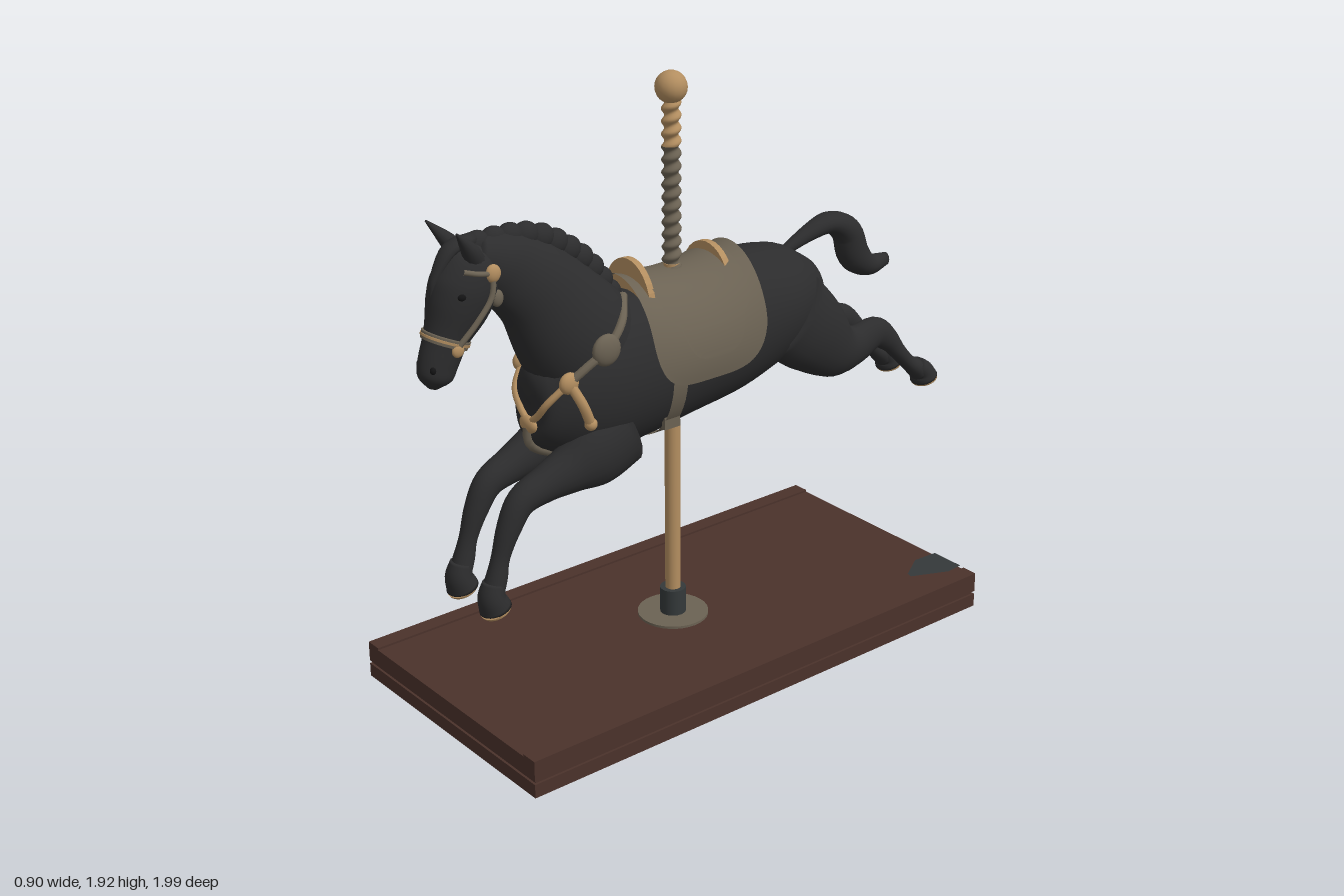
import * as THREE from 'three';

const mat = (name, color, side = THREE.FrontSide) => {
  const m = new THREE.MeshStandardMaterial({ color, side });
  m.name = name;
  return m;
};

// Smooth tube through stations [x, y, z, halfWidth, halfDepth], lying mostly in the y-z plane
function loft(stations, { seg = 24, sub = 5, caps = true } = {}) {
  const centre = new THREE.CatmullRomCurve3(stations.map(s => new THREE.Vector3(s[0], s[1], s[2])), false, 'catmullrom');
  const size = new THREE.CatmullRomCurve3(stations.map(s => new THREE.Vector3(s[3], s[4], 0)), false, 'catmullrom');
  const rings = (stations.length - 1) * sub, pos = [], idx = [];
  for (let i = 0; i <= rings; i++) {
    const t = i / rings, c = centre.getPoint(t), r = size.getPoint(t), T = centre.getTangent(t);
    const S = new THREE.Vector3(1, 0, 0).addScaledVector(T, -T.x).normalize();
    const U = new THREE.Vector3().crossVectors(T, S);
    for (let j = 0; j < seg; j++) {
      const a = j / seg * Math.PI * 2;
      const p = c.clone().addScaledVector(S, Math.cos(a) * r.x).addScaledVector(U, Math.sin(a) * r.y);
      pos.push(p.x, p.y, p.z);
      if (i < rings) {
        const k = (j + 1) % seg, A = i * seg + j, B = i * seg + k;
        idx.push(A, B, A + seg, B, B + seg, A + seg);
      }
    }
  }
  if (caps) {
    const first = stations[0], last = stations.at(-1), n = pos.length / 3;
    pos.push(first[0], first[1], first[2], last[0], last[1], last[2]);
    for (let j = 0; j < seg; j++) {
      const k = (j + 1) % seg;
      idx.push(n, k, j, n + 1, rings * seg + j, rings * seg + k);
    }
  }
  const g = new THREE.BufferGeometry();
  g.setAttribute('position', new THREE.Float32BufferAttribute(pos, 3));
  g.setIndex(idx);
  g.computeVertexNormals();
  return g;
}

// Saddle layer draped over the back, with rounded lower corners
function drape(z0, z1, bottom, drop, offset) {
  const nu = 28, nv = 40, pos = [], idx = [], yc = 1.05;
  for (let i = 0; i <= nu; i++) {
    const s = -Math.cos(i / nu * Math.PI), z = (z0 + z1) / 2 + s * (z1 - z0) / 2;
    const b = 1.285 + 0.9 * (z - 0.1) ** 2 + offset - yc;
    const low = bottom + drop * (1 - Math.sqrt(Math.max(0, 1 - s ** 4)));
    const limit = Math.acos(Math.min(1, Math.max(-1, (low - yc) / b)));
    for (let j = 0; j <= nv; j++) {
      const a = (j / nv * 2 - 1) * limit;
      pos.push(Math.sin(a) * (0.19 + offset), yc + Math.cos(a) * b, z);
      if (i < nu && j < nv) {
        const A = i * (nv + 1) + j, C = A + nv + 1;
        idx.push(A, C, A + 1, A + 1, C, C + 1);
      }
    }
  }
  const g = new THREE.BufferGeometry();
  g.setAttribute('position', new THREE.Float32BufferAttribute(pos, 3));
  g.setIndex(idx);
  g.computeVertexNormals();
  return g;
}

export function createModel() {
  const model = new THREE.Group();
  model.name = 'carouselHorse';
  const coat = mat('black coat', 0x2c2c2d), dark = mat('eye black', 0x141415);
  const leather = mat('olive leather', 0x6b6253, THREE.DoubleSide), gold = mat('tan gold', 0xb38e60);
  const wood = mat('brown wood', 0x4b322b), iron = mat('dark iron', 0x34393a);
  const add = (name, geo, m, x = 0, y = 0, z = 0) => {
    const mesh = new THREE.Mesh(geo, m);
    mesh.name = name;
    mesh.position.set(x, y, z);
    mesh.updateMatrixWorld();
    model.add(mesh);
    return mesh;
  };
  const ball = (name, r, m, p, sx = 1, sy = 1, sz = 1) =>
    add(name, new THREE.SphereGeometry(r, 16, 12).scale(sx, sy, sz), m, ...p);

  // Wooden base with a groove and raised side rails
  add('baseFoot', new THREE.BoxGeometry(0.9, 0.045, 1.82), wood, 0, 0.0225, 0.05);
  add('baseGroove', new THREE.BoxGeometry(0.885, 0.012, 1.805), wood, 0, 0.05, 0.05);
  add('baseTop', new THREE.BoxGeometry(0.9, 0.06, 1.82), wood, 0, 0.085, 0.05);
  for (const s of [-1, 1]) add('baseRail', new THREE.BoxGeometry(0.055, 0.008, 1.82), wood, s * 0.4225, 0.118, 0.05);
  const patch = new THREE.Shape([[0.26, 0.86], [0.38, 0.86], [0.385, 0.8], [0.33, 0.675], [0.31, 0.68], [0.255, 0.77]]
    .map(p => new THREE.Vector2(...p)));
  add('basePatch', new THREE.ShapeGeometry(patch).rotateX(-Math.PI / 2), iron, 0, 0.124, 0);

  // Pole: flange, collar, plain shaft, twisted top and ball
  const pz = 0.085;
  add('poleFlange', new THREE.CylinderGeometry(0.115, 0.115, 0.008, 32), leather, 0, 0.119, pz);
  add('poleCollar', new THREE.CylinderGeometry(0.042, 0.042, 0.09, 24), iron, 0, 0.165, pz);
  add('poleShaft', new THREE.CylinderGeometry(0.025, 0.025, 1.14, 24), gold, 0, 0.75, pz);
  const twist = (y0, y1, m) => {
    const g = new THREE.CylinderGeometry(1, 1, y1 - y0, 20, Math.round((y1 - y0) * 200), true);
    const p = g.attributes.position;
    for (let i = 0; i < p.count; i++) {
      const y = p.getY(i) + (y0 + y1) / 2, a = Math.atan2(p.getZ(i), p.getX(i));
      const r = 0.026 + 0.005 * Math.sin(a + y * 160);
      p.setXYZ(i, p.getX(i) * r, y, p.getZ(i) * r);
    }
    g.computeVertexNormals();
    add('twistedPole', g, m, 0, 0, pz);
  };
  twist(1.26, 1.69, leather);
  twist(1.69, 1.84, gold);
  ball('poleBall', 0.05, gold, [0, 1.868, pz]);

  // Torso, neck and head
  const torso = add('torso', loft([
    [0, 1.13, -0.50, 0.01, 0.01], [0, 1.13, -0.47, 0.09, 0.09], [0, 1.12, -0.40, 0.14, 0.15],
    [0, 1.11, -0.28, 0.18, 0.195], [0, 1.08, -0.10, 0.183, 0.23], [0, 1.05, 0.10, 0.18, 0.23],
    [0, 1.03, 0.30, 0.178, 0.24], [0, 1.02, 0.45, 0.165, 0.235], [0, 1.02, 0.56, 0.13, 0.185],
    [0, 1.03, 0.615, 0.08, 0.11], [0, 1.03, 0.635, 0.01, 0.01]], { seg: 36 }), coat);
  const neck = add('neck', loft([
    [0, 1.08, 0.38, 0.15, 0.19], [0, 1.20, 0.475, 0.14, 0.185], [0, 1.34, 0.58, 0.105, 0.145],
    [0, 1.42, 0.67, 0.082, 0.12], [0, 1.47, 0.745, 0.072, 0.095], [0, 1.50, 0.81, 0.05, 0.06]], { seg: 32 }), coat);
  const head = add('head', loft([
    [0, 1.545, 0.80, 0.02, 0.02], [0, 1.50, 0.815, 0.07, 0.078], [0, 1.43, 0.835, 0.086, 0.105],
    [0, 1.36, 0.865, 0.08, 0.098], [0, 1.28, 0.905, 0.06, 0.07], [0, 1.21, 0.935, 0.052, 0.062],
    [0, 1.165, 0.948, 0.045, 0.052], [0, 1.135, 0.955, 0.012, 0.015]], { seg: 28 }), coat);

  // Scalloped mane along the crest, with a forelock
  const crest = new THREE.CatmullRomCurve3([[0.33, 1.28], [0.39, 1.37], [0.47, 1.445], [0.58, 1.51], [0.68, 1.53], [0.79, 1.53]]
    .map(([z, y]) => new THREE.Vector3(0, y, z)));
  for (let i = 0; i < 11; i++) ball('maneLock', 0.042, coat, crest.getPointAt(i / 10).toArray(), 0.75, 1, 1.05);
  add('forelock', loft([[0, 1.55, 0.80, 0.025, 0.02], [0, 1.535, 0.88, 0.03, 0.02], [0, 1.46, 0.935, 0.016, 0.012],
    [0, 1.41, 0.95, 0.003, 0.003]], { seg: 12 }), coat);

  // Tail
  add('tail', loft([
    [0, 1.25, -0.36, 0.015, 0.015], [0, 1.295, -0.48, 0.03, 0.028], [0, 1.31, -0.57, 0.045, 0.036],
    [0, 1.265, -0.645, 0.05, 0.05], [0, 1.18, -0.68, 0.05, 0.055], [0, 1.13, -0.745, 0.042, 0.038],
    [0, 1.13, -0.83, 0.018, 0.022]], { seg: 18 }), coat);

  // Legs, hooves, soles, ears, eyes and nostrils on both sides
  for (const s of [-1, 1]) {
    const part = (name, pts, m, seg = 20) => add(name, loft(pts.map(p => [p[0] * s, ...p.slice(1)]), { seg }), m);
    part('frontLeg', [[0.085, 0.87, 0.35, 0.08, 0.12], [0.095, 0.83, 0.46, 0.078, 0.115], [0.092, 0.80, 0.55, 0.066, 0.08],
      [0.088, 0.775, 0.64, 0.052, 0.058], [0.085, 0.742, 0.725, 0.043, 0.047], [0.085, 0.67, 0.772, 0.037, 0.038],
      [0.085, 0.585, 0.805, 0.028, 0.029], [0.086, 0.525, 0.822, 0.033, 0.033], [0.086, 0.48, 0.838, 0.038, 0.034]], coat);
    part('frontHoof', [[0.086, 0.51, 0.833, 0.035, 0.034], [0.087, 0.465, 0.843, 0.045, 0.042], [0.088, 0.425, 0.832, 0.05, 0.05]], coat);
    part('frontSole', [[0.088, 0.425, 0.832, 0.049, 0.049], [0.088, 0.418, 0.829, 0.048, 0.047]], gold);
    part('hindLeg', [[0.095, 1.08, -0.32, 0.085, 0.15], [0.098, 1.00, -0.41, 0.083, 0.135], [0.095, 0.92, -0.51, 0.07, 0.10],
      [0.09, 0.902, -0.60, 0.052, 0.07], [0.086, 0.922, -0.70, 0.04, 0.055], [0.085, 0.885, -0.765, 0.032, 0.04],
      [0.085, 0.83, -0.815, 0.028, 0.029], [0.085, 0.778, -0.865, 0.028, 0.026], [0.085, 0.752, -0.897, 0.036, 0.031],
      [0.085, 0.725, -0.925, 0.036, 0.032]], coat);
    part('hindHoof', [[0.085, 0.755, -0.905, 0.036, 0.03], [0.085, 0.728, -0.936, 0.044, 0.038], [0.085, 0.702, -0.948, 0.05, 0.046]], coat);
    part('hindSole', [[0.085, 0.702, -0.948, 0.049, 0.045], [0.085, 0.695, -0.951, 0.048, 0.044]], gold);
    part('ear', [[0.042, 1.495, 0.82, 0.026, 0.03], [0.055, 1.54, 0.85, 0.025, 0.025], [0.078, 1.605, 0.905, 0.003, 0.003]], coat, 12);
    ball('eye', 0.017, dark, [s * 0.068, 1.415, 0.888], 0.7, 0.8, 1);
    ball('nostril', 0.013, dark, [s * 0.034, 1.205, 0.974], 0.8, 1, 0.8);
  }

  // Saddle layers with pommel and cantle plates
  add('saddleBlanket', drape(-0.14, 0.30, 1.0, 0.17, 0.01), leather);
  add('saddleFlap', drape(-0.06, 0.20, 1.075, 0.2, 0.02), leather);
  add('saddleSeat', drape(-0.09, 0.24, 1.17, 0.1, 0.026), leather);
  const plate = (name, top, z) => {
    const shape = new THREE.Shape().moveTo(-0.115, 1.22).bezierCurveTo(-0.11, top + 0.02, 0.11, top + 0.02, 0.115, 1.22);
    add(name, new THREE.ExtrudeGeometry(shape, { depth: 0.022, bevelEnabled: false, curveSegments: 16 }), gold, 0, 0, z);
  };
  plate('pommel', 1.40, 0.235);
  plate('cantle', 1.385, -0.07);

  // Girth with buckles
  add('girth', new THREE.CylinderGeometry(1, 1, 0.055, 48, 1, true).rotateX(Math.PI / 2).scale(0.188, 0.246, 1), leather, 0, 1.04, 0.2);

  // Straps are laid on the body by casting rays onto it
  const caster = new THREE.Raycaster(), body = [torso, neck, head];
  body.forEach(b => { b.material = coat; });
  const sidePoint = (s, y, z) => {
    caster.set(new THREE.Vector3(s, y, z), new THREE.Vector3(-s, 0, 0));
    const hit = caster.intersectObjects(body)[0];
    return new THREE.Vector3(hit ? hit.point.x + s * 0.004 : s * 0.05, y, z);
  };
  const chestPoint = (x, y) => {
    caster.set(new THREE.Vector3(x, y, 2), new THREE.Vector3(0, 0, -1));
    const hit = caster.intersectObjects([torso, neck])[0];
    return new THREE.Vector3(x, y, hit ? hit.point.z + 0.004 : 0.6);
  };
  const tube = (name, pts, r, m) => add(name, new THREE.TubeGeometry(new THREE.CatmullRomCurve3(pts), 28, r, 8), m);

  for (const s of [-1, 1]) {
    const at = (y, z) => sidePoint(s, y, z);
    const buckle = at(0.87, 0.2);
    add('girthBuckle', new THREE.BoxGeometry(0.014, 0.04, 0.06), leather, buckle.x + s * 0.008, 0.87, 0.2);
    // Breast collar with medallion and tassel
    tube('collarStrap', [at(1.28, 0.31), at(1.23, 0.38), at(1.17, 0.45), at(1.13, 0.51), at(1.09, 0.56)], 0.014, leather);
    tube('chestStrap', [at(1.09, 0.56), chestPoint(s * 0.08, 1.02), chestPoint(s * 0.04, 0.97), chestPoint(0, 0.94)], 0.011, gold);
    ball('medallion', 0.05, leather, at(1.17, 0.45).toArray(), 0.45, 1, 1);
    const knob = at(1.085, 0.565), end = at(0.95, 0.51);
    ball('tasselKnob', 0.034, gold, knob.toArray(), 0.6, 1, 1);
    tube('tassel', [knob, knob.clone().lerp(end, 0.5).setX(Math.max(knob.x * s, end.x * s) * s), end], 0.016, gold);
    ball('tasselEnd', 0.02, gold, end.toArray());
    // Bridle side straps
    const rosette = at(1.465, 0.79);
    ball('rosette', 0.025, gold, rosette.toArray(), 0.6, 1.1, 1);
    tube('cheekStrap', [rosette, at(1.40, 0.80), at(1.33, 0.85), at(1.27, 0.90)], 0.009, leather);
    tube('browStrap', [rosette, at(1.475, 0.84), at(1.485, 0.88)], 0.008, leather);
    ball('throatBuckle', 0.022, leather, at(1.38, 0.765).toArray(), 0.6, 1.2, 0.9);
    ball('bitRing', 0.02, gold, at(1.255, 0.905).toArray(), 0.5, 1, 1);
  }
  ball('chestOrnament', 0.034, gold, chestPoint(0, 0.935).toArray(), 1.2, 0.8, 0.5);
  tube('breastStrap', [chestPoint(0, 0.93), chestPoint(0, 0.87), new THREE.Vector3(0, 0.80, 0.47),
    new THREE.Vector3(0, 0.787, 0.32), new THREE.Vector3(0, 0.795, 0.2)], 0.018, leather);
  add('noseband', loft([[0, 1.285, 0.903, 0.066, 0.077], [0, 1.262, 0.913, 0.063, 0.073]], { caps: false }), leather);
  add('nosebandTrim', loft([[0, 1.277, 0.9065, 0.067, 0.078], [0, 1.27, 0.9095, 0.066, 0.077]], { caps: false }), gold);
  return model;
}
